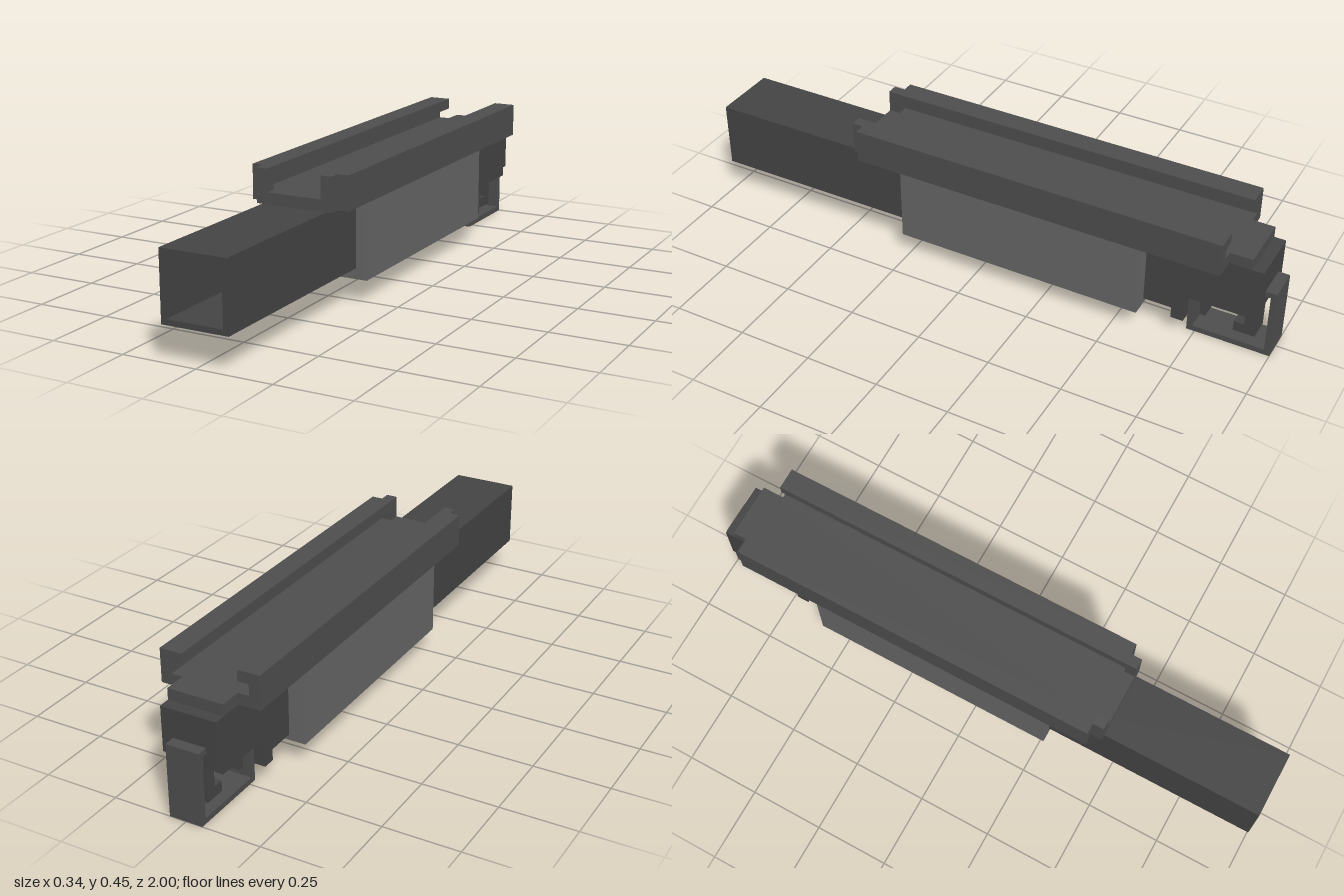
import * as THREE from 'three';

const material = (color) => new THREE.MeshStandardMaterial({ color, flatShading: true });

function polygon(points) {
  return new THREE.Shape(points.map(([a, b]) => new THREE.Vector2(a, b)));
}

function rectangle(x0, x1, y0, y1) {
  return polygon([[x0, y0], [x1, y0], [x1, y1], [x0, y1]]);
}

export function createModel() {
  const model = new THREE.Group();
  const barrelGrey = material(0x444444);
  const railGrey = material(0x4e4e4e);
  const lightGrey = material(0x666666);

  const add = (name, geometry, mat) => {
    const mesh = new THREE.Mesh(geometry, mat);
    mesh.name = name;
    model.add(mesh);
  };

  // Box given by its limits on each axis
  const box = (name, x0, x1, y0, y1, z0, z1, mat) => {
    const g = new THREE.BoxGeometry(x1 - x0, y1 - y0, z1 - z0);
    g.translate((x0 + x1) / 2, (y0 + y1) / 2, (z0 + z1) / 2);
    add(name, g, mat);
  };

  // Front outline (x, y) swept along z
  const alongZ = (name, shape, z0, z1, mat) => {
    const g = new THREE.ExtrudeGeometry(shape, { depth: z1 - z0, bevelEnabled: false });
    add(name, g.translate(0, 0, z0), mat);
  };

  // Side outline (z, y) swept across x, centred
  const acrossX = (name, points, halfWidth, mat) => {
    const g = new THREE.ExtrudeGeometry(polygon(points), { depth: 2 * halfWidth, bevelEnabled: false });
    add(name, g.translate(0, 0, -halfWidth).rotateY(-Math.PI / 2), mat);
  };

  // Hollow square barrel
  const tube = rectangle(-0.112, 0.112, 0.113, 0.337);
  tube.holes.push(rectangle(-0.094, 0.094, 0.131, 0.319));
  alongZ('barrel', tube, 0.27, 1, barrelGrey);

  // Main housing
  box('housing', -0.15, 0.15, 0.077, 0.337, -0.585, 0.27, lightGrey);

  // Stepped rear block
  acrossX('rearBlock', [
    [-0.585, 0.337], [-0.962, 0.337], [-0.962, 0.187], [-0.94, 0.187],
    [-0.94, 0.155], [-0.722, 0.155], [-0.722, 0.058], [-0.68, 0.058],
    [-0.68, 0.096], [-0.585, 0.096],
  ], 0.094, barrelGrey);

  // Top plate and the two grooved rails beside it
  box('topPlate', -0.094, 0.094, 0.337, 0.375, -0.924, 0.458, railGrey);
  for (const [side, s] of [['left', 1], ['right', -1]]) {
    const profile = [
      [0.094, 0.337], [0.168, 0.337], [0.168, 0.449], [0.094, 0.449],
      [0.094, 0.412], [0.131, 0.412], [0.131, 0.375], [0.094, 0.375],
    ].map(([x, y]) => [s * x, y]);
    alongZ(side + 'Rail', polygon(profile), -0.85, 0.42, railGrey);
    const [a, b] = s > 0 ? [0.094, 0.131] : [-0.131, -0.094];
    box(side + 'RailStop', a, b, 0.337, 0.449, 0.42, 0.458, railGrey);
  }

  // Square guard loop below the rear block
  acrossX('guard', [
    [-0.722, 0.155], [-0.722, 0], [-1, 0], [-1, 0.243], [-0.962, 0.243],
    [-0.962, 0.224], [-0.981, 0.224], [-0.981, 0.019], [-0.741, 0.019], [-0.741, 0.155],
  ], 0.056, railGrey);

  // Bent lever hanging inside the guard
  acrossX('frontLever', [
    [-0.755, 0.155], [-0.755, 0.058], [-0.774, 0.058], [-0.774, 0.134],
    [-0.83, 0.134], [-0.83, 0.155],
  ], 0.037, barrelGrey);

  // Hook hanging at the rear of the guard
  acrossX('rearHook', [
    [-0.903, 0.155], [-0.903, 0.075], [-0.868, 0.075], [-0.868, 0.04],
    [-0.94, 0.04], [-0.94, 0.155],
  ], 0.037, barrelGrey);

  return model;
}
